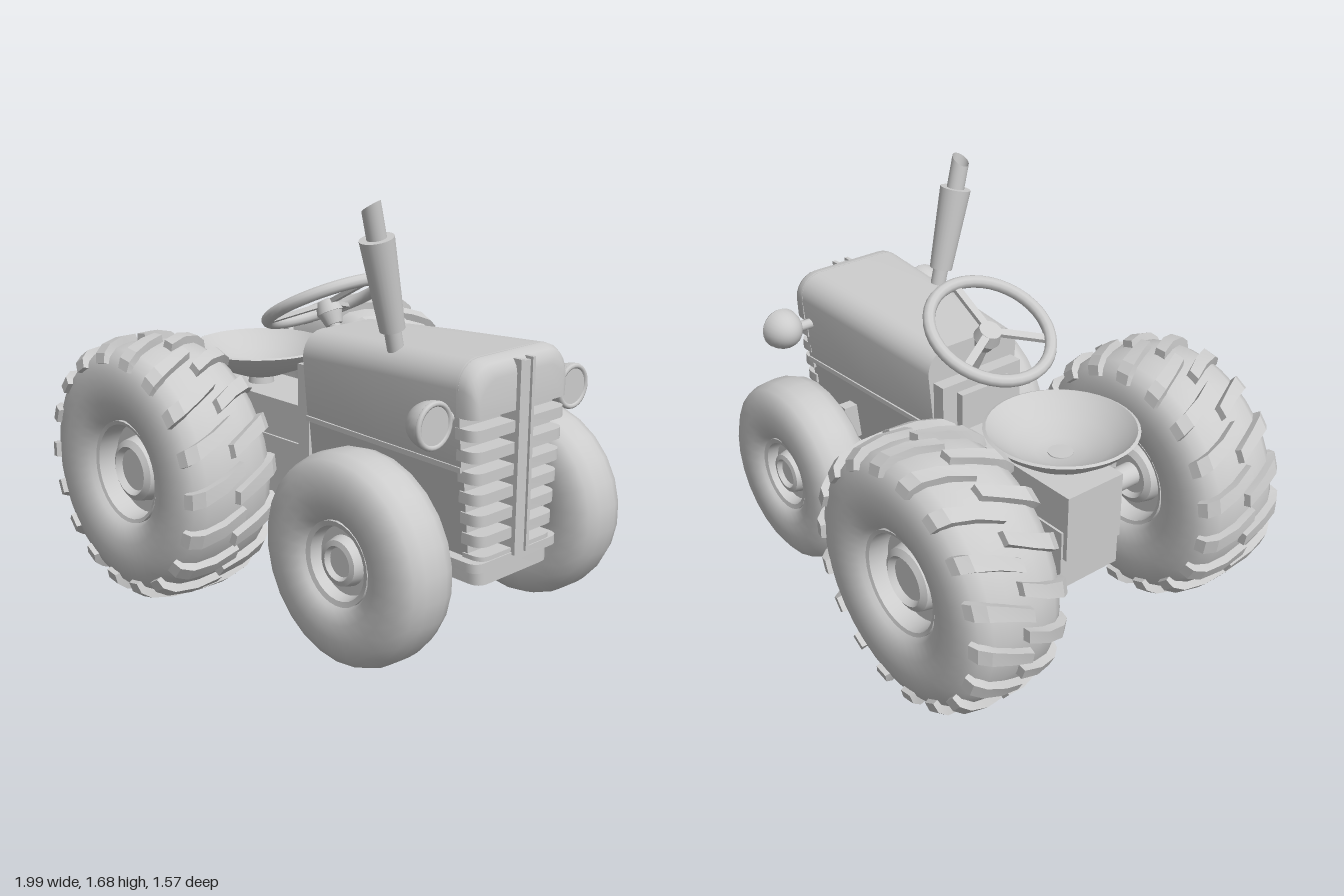
import * as THREE from 'three';
import { toCreasedNormals } from 'three/addons/utils/BufferGeometryUtils.js';

const grey = new THREE.MeshStandardMaterial({ color: 0xcccccc });
const greyDouble = new THREE.MeshStandardMaterial({ color: 0xcccccc, side: THREE.DoubleSide });

function add(parent, name, geo, x = 0, y = 0, z = 0, mat = grey) {
  const mesh = new THREE.Mesh(geo, mat);
  mesh.name = name;
  mesh.position.set(x, y, z);
  parent.add(mesh);
  return mesh;
}

const box = (x0, x1, y0, y1, w) =>
  new THREE.BoxGeometry(x1 - x0, y1 - y0, 2 * w).translate((x0 + x1) / 2, (y0 + y1) / 2, 0);

const cyl = (rTop, rBottom, h, sides = 24) => new THREE.CylinderGeometry(rTop, rBottom, h, sides);

// Solid through closed rings of points, capped at both ends
function loft(rings, crease = 0.6) {
  const n = rings[0].length, pos = rings.flat(2), idx = [];
  for (let i = 0; i < rings.length - 1; i++) for (let j = 0; j < n; j++) {
    const a = i * n + j, b = i * n + (j + 1) % n;
    idx.push(a, b, b + n, a, b + n, a + n);
  }
  const last = (rings.length - 1) * n;
  for (let j = 1; j < n - 1; j++) idx.push(0, j + 1, j, last, last + j, last + j + 1);
  const geo = new THREE.BufferGeometry();
  geo.setAttribute('position', new THREE.Float32BufferAttribute(pos, 3));
  geo.setIndex(idx);
  return toCreasedNormals(geo, crease);
}

// Bodywork section at x: tapered sides with a rounded top
function hoodRing(x, top, w, bottom, r = 0.1) {
  const half = [[w * (1 - 0.44 * Math.max(0, 1 - bottom)), bottom]];
  for (let i = 0; i <= 6; i++) {
    const t = (i / 6) * Math.PI / 2;
    half.push([w - r + r * Math.cos(t), top - r + r * Math.sin(t)]);
  }
  const left = half.map(([z, y]) => [x, y, -z]);
  const right = half.reverse().map(([z, y]) => [x, y, z]);
  return [...left, ...right];
}

// Flat plate whose two front corners are rounded
function plate(w, xBack, xFront, r, y, h) {
  const s = new THREE.Shape();
  s.moveTo(xBack, -w);
  s.lineTo(xFront - r, -w);
  s.quadraticCurveTo(xFront, -w, xFront, -w + r);
  s.lineTo(xFront, w - r);
  s.quadraticCurveTo(xFront, w, xFront - r, w);
  s.lineTo(xBack, w);
  const geo = new THREE.ExtrudeGeometry(s, { depth: h, bevelEnabled: false, curveSegments: 6 });
  return toCreasedNormals(geo.rotateX(-Math.PI / 2).translate(0, y, 0), 0.6);
}

// Wheel half-profiles as [radius, offset], mirrored to both faces
function wheelGeometry(half, sides) {
  const outer = half.map(([r, a]) => new THREE.Vector2(r, a));
  const inner = half.map(([r, a]) => new THREE.Vector2(r, -a));
  const geo = new THREE.LatheGeometry([...inner, ...outer.reverse()], sides);
  return toCreasedNormals(geo.rotateX(Math.PI / 2), 0.75);
}
const rearRim = [[0, 0.13], [0.085, 0.13], [0.1, 0.155], [0.125, 0.14], [0.135, 0.09], [0.185, 0.09], [0.195, 0.17], [0.21, 0.175]];
const rearTyre = [[0.205, 0.15], [0.23, 0.19], [0.29, 0.212], [0.36, 0.217], [0.42, 0.208], [0.47, 0.185], [0.497, 0.14], [0.508, 0.07], [0.51, 0.01]];
const frontRim = [[0, 0.075], [0.055, 0.075], [0.065, 0.095], [0.085, 0.09], [0.095, 0.05], [0.13, 0.05], [0.14, 0.095], [0.16, 0.1]];
const frontTyre = [[0.155, 0.08], [0.175, 0.11], [0.22, 0.128], [0.28, 0.13], [0.34, 0.122], [0.38, 0.095], [0.397, 0.05], [0.4, 0.01]];

// Slanted tread bar running from the crown over the shoulder
function lugGeometry(side, angle, lean) {
  // base offset, base radius, top offset, top radius, half angle
  const stations = [
    [-0.02, 0.5, -0.015, 0.538, 0.055], [0.08, 0.495, 0.08, 0.538, 0.06],
    [0.15, 0.475, 0.165, 0.52, 0.07], [0.175, 0.455, 0.205, 0.49, 0.075], [0.185, 0.44, 0.216, 0.45, 0.075],
  ];
  const rings = stations.map(([a0, r0, a1, r1, h]) => {
    const t = angle + lean * side * a0;
    const p = (a, r, d) => [r * Math.sin(t + d), r * Math.cos(t + d), a * side];
    return [p(a0, r0, -h), p(a0, r0, h), p(a1, r1, h * 0.85), p(a1, r1, -h * 0.85)];
  });
  return loft(side > 0 ? rings : rings.reverse(), 0.3);
}

function addWheels(root) {
  const parts = {
    rearRim: wheelGeometry(rearRim, 32), rearTyre: wheelGeometry(rearTyre, 36),
    frontRim: wheelGeometry(frontRim, 28), frontTyre: wheelGeometry(frontTyre, 26),
  };
  for (const s of [1, -1]) {
    const rear = new THREE.Group();
    rear.name = 'rearWheel';
    rear.position.set(-0.46, 0.545, s * 0.57);
    add(rear, 'rearRim', parts.rearRim);
    add(rear, 'rearTyre', parts.rearTyre);
    const count = 18;
    for (let i = 0; i < count; i++) for (const side of [1, -1]) {
      const angle = ((i + (side * s > 0 ? 0 : 0.5)) / count) * Math.PI * 2;
      add(rear, 'treadLug', lugGeometry(side, angle, 0.9 * s));
    }
    const front = new THREE.Group();
    front.name = 'frontWheel';
    front.position.set(0.6, 0.43, s * 0.48);
    add(front, 'frontRim', parts.frontRim);
    add(front, 'frontTyre', parts.frontTyre);
    root.add(rear, front);
  }
}

function addBody(root) {
  // Hood, rounded nose and lower side panels
  add(root, 'hood', loft([[0.03, 1.12, 0.225], [0.45, 1.145, 0.247], [0.88, 1.165, 0.268]]
    .map(([x, t, w]) => hoodRing(x, t, w, 0.77))));
  add(root, 'nose', loft([[0.87, 1.165, 0.268], [0.905, 1.163, 0.266], [0.93, 1.15, 0.258], [0.945, 1.125, 0.245], [0.95, 1.1, 0.23]]
    .map(([x, t, w]) => hoodRing(x, t, w, 0.965)), 0.9));
  add(root, 'lowerPanel', loft([[0.03, 0.225], [0.88, 0.262]].map(([x, w]) => {
    const a = w * 0.71, b = w * 0.88;
    return [[x, 0.37, -a], [x, 0.77, -b], [x, 0.77, b], [x, 0.37, a]];
  })));
  add(root, 'hoodTrim', loft([[0.03, 0.212], [0.88, 0.248]].map(([x, w]) =>
    [[x, 0.76, -w], [x, 0.78, -w], [x, 0.78, w], [x, 0.76, w]])));
  // Grille slats wrap round the front below the nose
  for (let i = 0; i < 7; i++) {
    const y = 0.405 + i * 0.08;
    const w = 0.268 * (1 - 0.44 * (0.98 - y));
    add(root, 'grilleSlat', plate(w, 0.86, 0.95, 0.05, y, 0.042));
  }
  add(root, 'grilleCentre', box(0.87, 0.957, 0.42, 1.14, 0.03));
  for (const s of [1, -1]) {
    add(root, 'grilleRib', box(0.88, 0.967, 0.42, 1.15, 0.008), 0, 0, s * 0.032);
  }
  add(root, 'bumperTop', plate(0.235, 0.66, 0.955, 0.05, 0.395, 0.035));
  add(root, 'bumperBase', plate(0.2, 0.62, 0.94, 0.05, 0.335, 0.062));
  // Chassis and rear gearbox
  add(root, 'chassis', box(-0.68, 0.8, 0.36, 0.62, 0.15));
  add(root, 'gearbox', box(-0.7, 0.04, 0.5, 0.78, 0.14));
  add(root, 'dashboard', box(-0.03, 0.035, 0.5, 0.98, 0.2));
  add(root, 'dashCowl', box(-0.065, 0, 0.7, 0.94, 0.13));
}

function addAxles(root) {
  add(root, 'rearAxle', cyl(0.05, 0.05, 0.96).rotateX(Math.PI / 2), -0.46, 0.545, 0);
  add(root, 'frontAxle', cyl(0.035, 0.035, 0.84).rotateX(Math.PI / 2), 0.6, 0.43, 0);
  for (const s of [1, -1]) {
    add(root, 'kingpin', cyl(0.04, 0.04, 0.2), 0.6, 0.495, s * 0.29);
    add(root, 'kingpinArm', new THREE.BoxGeometry(0.05, 0.16, 0.08), 0.6, 0.57, s * 0.23);
    add(root, 'wheelStub', cyl(0.025, 0.025, 0.2), 0.6, 0.5, s * 0.335);
  }
}

function addFittings(root) {
  // Headlights: domed shell, flat lens and bezel
  const dome = new THREE.SphereGeometry(0.088, 24, 10, 0, Math.PI * 2, 0, Math.PI / 2).rotateZ(Math.PI / 2).scale(1.2, 1, 1);
  for (const s of [1, -1]) {
    const lamp = new THREE.Group();
    lamp.name = 'headlight';
    lamp.position.set(0.875, 0.96, s * 0.38);
    add(lamp, 'lampShell', dome);
    add(lamp, 'lampLens', cyl(0.075, 0.075, 0.008).rotateZ(Math.PI / 2));
    add(lamp, 'lampBezel', new THREE.TorusGeometry(0.078, 0.011, 8, 28).rotateY(Math.PI / 2));
    add(lamp, 'lampArm', cyl(0.022, 0.022, 0.1, 12).rotateX(Math.PI / 2), -0.04, 0, -s * 0.1);
    root.add(lamp);
  }
  // Exhaust leaning outward, with a slanted open tip
  const exhaust = new THREE.Group();
  exhaust.name = 'exhaust';
  exhaust.position.set(0.5, 1.1, 0.18);
  exhaust.rotation.x = 0.24;
  add(exhaust, 'exhaustStem', cyl(0.032, 0.032, 0.14), 0, 0.06, 0);
  add(exhaust, 'muffler', cyl(0.065, 0.048, 0.35), 0, 0.285, 0);
  const tip = new THREE.CylinderGeometry(0.037, 0.037, 0.16, 24, 1, true);
  const p = tip.attributes.position;
  for (let i = 0; i < p.count; i++) {
    if (p.getY(i) > 0) p.setY(i, 0.06 + p.getX(i) * 0.55);
  }
  add(exhaust, 'exhaustTip', tip, 0, 0.52, 0, greyDouble);
  root.add(exhaust);

  // Steering wheel and column, tilted toward the seat
  const steering = new THREE.Group();
  steering.name = 'steering';
  steering.position.set(-0.08, 1.195, 0);
  steering.rotation.z = 0.49;
  add(steering, 'steeringRim', new THREE.TorusGeometry(0.25, 0.025, 10, 40).rotateX(Math.PI / 2));
  add(steering, 'steeringHub', cyl(0.045, 0.055, 0.05), 0, -0.025, 0);
  add(steering, 'steeringColumn', cyl(0.025, 0.025, 0.36, 16), 0, -0.2, 0);
  add(steering, 'columnCollar', cyl(0.05, 0.035, 0.05), 0, -0.075, 0);
  for (let i = 0; i < 3; i++) {
    const spoke = new THREE.BoxGeometry(0.22, 0.018, 0.032).translate(0.135, -0.01, 0);
    add(steering, 'spoke', spoke.rotateY(i * Math.PI * 2 / 3));
  }
  root.add(steering);

  // Bowl seat on a post
  const bowl = [[0, -0.12], [0.1, -0.108], [0.2, -0.07], [0.27, -0.02], [0.3, 0.015], [0.288, 0.02], [0.255, -0.01], [0.19, -0.052], [0.1, -0.088], [0, -0.1]];
  const seat = toCreasedNormals(new THREE.LatheGeometry(bowl.map(([r, y]) => new THREE.Vector2(r, y)), 40), 0.8);
  add(root, 'seat', seat, -0.5, 0.93, 0, greyDouble);
  add(root, 'seatPost', cyl(0.05, 0.06, 0.1), -0.5, 0.79, 0);
}

export function createModel() {
  const root = new THREE.Group();
  root.name = 'tractor';
  addBody(root);
  addAxles(root);
  addWheels(root);
  addFittings(root);
  return root;
}
